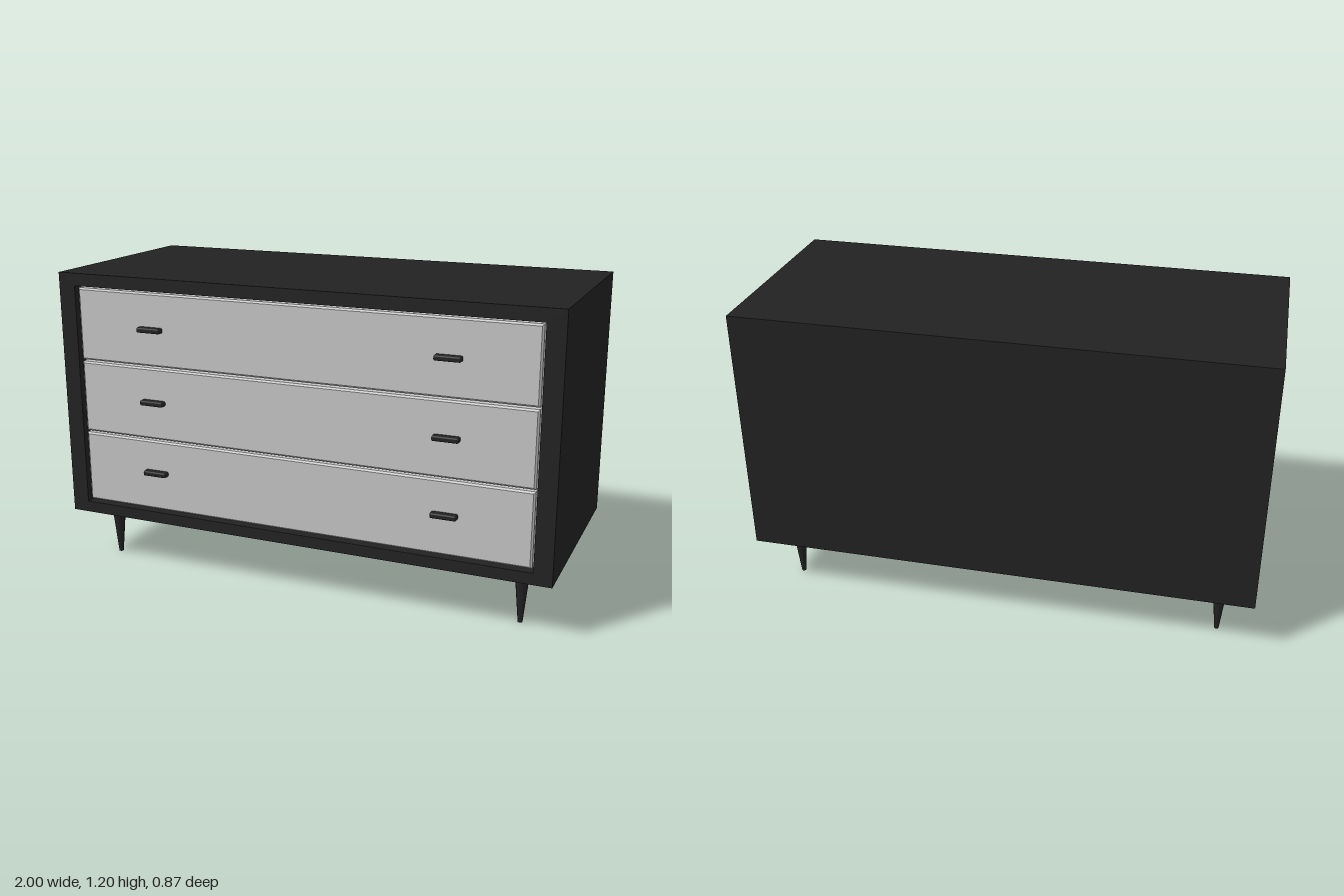
import * as THREE from 'three';
import { RoundedBoxGeometry } from 'three/addons/geometries/RoundedBoxGeometry.js';

const black = new THREE.MeshStandardMaterial({ name: 'black lacquer', color: 0x222222 });
const grey = new THREE.MeshStandardMaterial({ name: 'light grey', color: 0xc4c4c4 });

const BACK = -0.435, FRONT = 0.42;

// Rectangle outline centred on x = 0
function rectangle(halfWidth, bottom, top, Type = THREE.Shape) {
  const path = new Type();
  path.moveTo(-halfWidth, bottom);
  path.lineTo(halfWidth, bottom);
  path.lineTo(halfWidth, top);
  path.lineTo(-halfWidth, top);
  path.closePath();
  return path;
}

function addMesh(parent, name, geometry, material, x = 0, y = 0, z = 0) {
  const mesh = new THREE.Mesh(geometry, material);
  mesh.name = name;
  mesh.position.set(x, y, z);
  parent.add(mesh);
  return mesh;
}

export function createModel() {
  const model = new THREE.Group();
  model.name = 'dresser';

  // Cabinet shell, open at the front, closed by a flush back panel
  const outline = rectangle(1, 0.21, 1.2);
  outline.holes.push(rectangle(0.93, 0.255, 1.15, THREE.Path));
  const shell = new THREE.ExtrudeGeometry(outline, { depth: FRONT - BACK, bevelEnabled: false });
  addMesh(model, 'cabinet', shell, black, 0, 0, BACK);
  addMesh(model, 'backPanel', new THREE.BoxGeometry(1.86, 0.895, 0.03), black, 0, 0.7025, BACK + 0.015);

  // Three bevelled drawers, each with a pair of pulls
  const bevel = 0.007;
  const drawerFront = 0.41, drawerDepth = 0.78;
  const drawerGeometry = new THREE.ExtrudeGeometry(rectangle(0.922, -0.144, 0.144), {
    depth: drawerDepth, bevelThickness: bevel, bevelSize: bevel, bevelOffset: -bevel, bevelSegments: 1,
  });
  const handleGeometry = new RoundedBoxGeometry(0.1, 0.02, 0.04, 2, 0.006);
  [0.408, 0.703, 0.998].forEach((y, i) => {
    const drawer = new THREE.Group();
    drawer.name = `drawer${i + 1}`;
    addMesh(drawer, 'drawerBox', drawerGeometry, grey, 0, y, drawerFront - bevel - drawerDepth);
    for (const side of [-1, 1]) {
      addMesh(drawer, side > 0 ? 'leftHandle' : 'rightHandle', handleGeometry, black,
        side * 0.597, [0.42, 0.71, 1.0][i], 0.417);
    }
    model.add(drawer);
  });

  // Tapered round legs
  const legGeometry = new THREE.CylinderGeometry(0.029, 0.009, 0.211, 20);
  for (const side of [-1, 1]) {
    for (const z of [0.298, -0.31]) {
      const name = (z > 0 ? 'front' : 'back') + (side > 0 ? 'Left' : 'Right') + 'Leg';
      addMesh(model, name, legGeometry, black, side * 0.865, 0.1055, z);
    }
  }
  return model;
}
